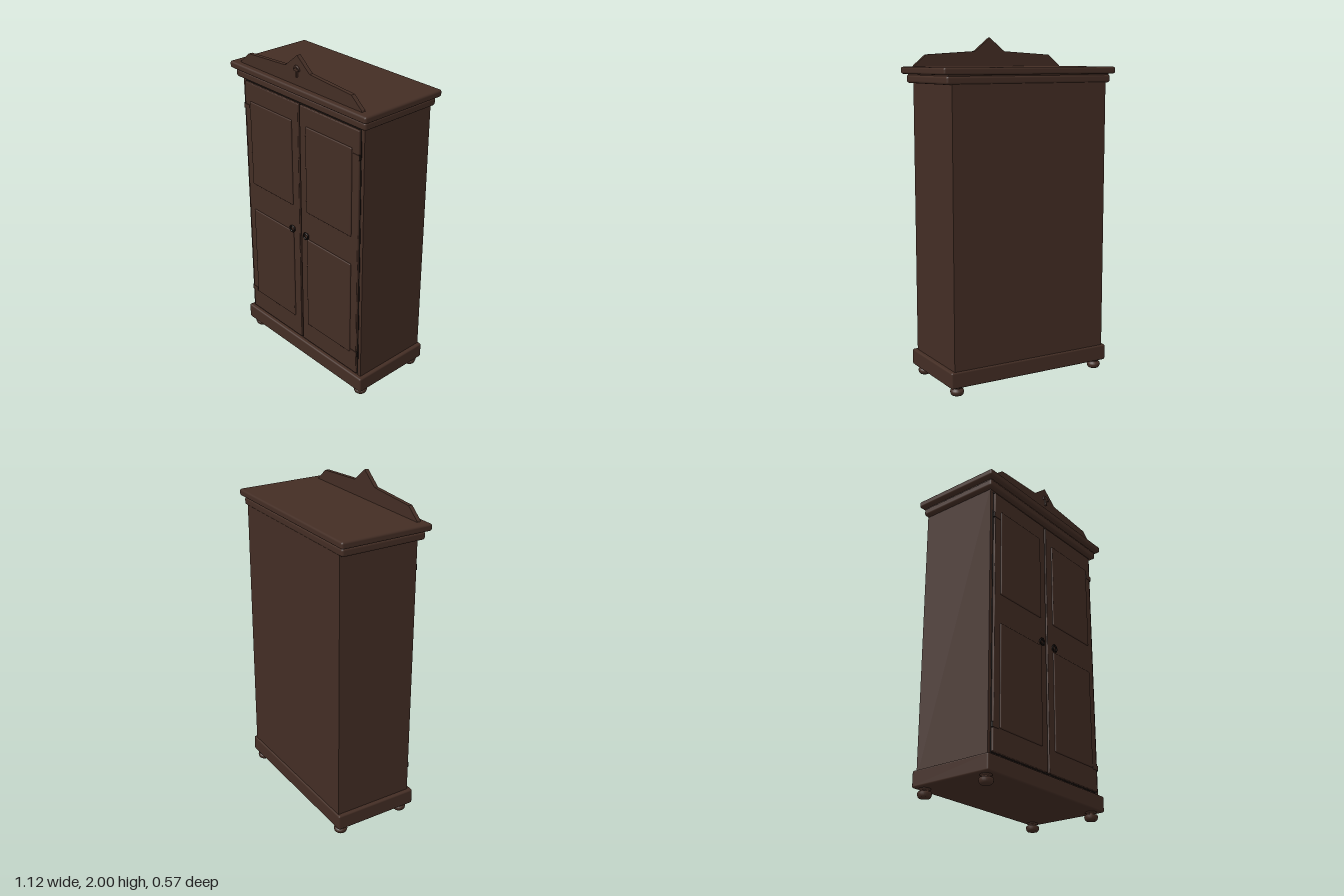
import * as THREE from 'three';
import { RoundedBoxGeometry } from 'three/addons/geometries/RoundedBoxGeometry.js';

export function createModel() {
  const root = new THREE.Group();
  root.name = 'wardrobe';
  const wood = new THREE.MeshStandardMaterial({ color: 0x432d24 });
  wood.name = 'dark wood';
  const iron = new THREE.MeshStandardMaterial({ color: 0x17110e });
  iron.name = 'dark iron';

  const add = (name, geometry, material, parent = root) => {
    const mesh = new THREE.Mesh(geometry, material);
    mesh.name = name;
    parent.add(mesh);
    return mesh;
  };
  // Box given by its limits, with optional rounded edges
  const box = (name, [x0, x1], [y0, y1], [z0, z1], r = 0, material = wood, parent = root) => {
    const s = [x1 - x0, y1 - y0, z1 - z0];
    const g = r ? new RoundedBoxGeometry(...s, 2, r) : new THREE.BoxGeometry(...s);
    g.translate((x0 + x1) / 2, (y0 + y1) / 2, (z0 + z1) / 2);
    return add(name, g, material, parent);
  };

  // Carcass, plinth and stepped cornice
  box('cabinetBody', [-0.503, 0.503], [0.1, 1.76], [-0.26, 0.23]);
  box('plinth', [-0.527, 0.527], [0.05, 0.145], [-0.27, 0.255], 0.01);
  box('lowerCornice', [-0.535, 0.535], [1.738, 1.785], [-0.265, 0.26], 0.014);
  box('corniceNeck', [-0.525, 0.525], [1.775, 1.8], [-0.258, 0.252]);
  box('upperCornice', [-0.56, 0.56], [1.79, 1.83], [-0.283, 0.283], 0.012);

  // Pointed pediment along the front of the top
  const outline = [[-0.5, 1.825], [0.5, 1.825], [0.495, 1.838], [0.42, 1.9], [0.1, 1.92],
    [0, 2], [-0.1, 1.92], [-0.42, 1.9], [-0.495, 1.838]];
  const pediment = new THREE.ExtrudeGeometry(
    new THREE.Shape(outline.map(p => new THREE.Vector2(...p))), { depth: 0.024, bevelEnabled: false });
  pediment.translate(0, 0, 0.225);
  add('pediment', pediment, wood);

  // Small carved ornament: arched head on a stem
  const ornament = new THREE.Group();
  ornament.name = 'pedimentOrnament';
  root.add(ornament);
  const arch = add('ornamentArch', new THREE.TorusGeometry(0.018, 0.006, 6, 16, Math.PI), wood, ornament);
  arch.position.set(0, 1.922, 0.253);
  box('ornamentStem', [-0.006, 0.006], [1.88, 1.935], [0.248, 0.26], 0, wood, ornament);
  box('ornamentBar', [-0.022, 0.022], [1.915, 1.926], [0.248, 0.26], 0, wood, ornament);

  // Thin shadow gaps around the doors
  box('gapBetweenDoors', [-0.008, 0.008], [0.16, 1.722], [0.229, 0.232], 0, iron);
  box('gapAboveDoors', [-0.482, 0.482], [1.72, 1.728], [0.229, 0.232], 0, iron);
  box('gapBelowDoors', [-0.482, 0.482], [0.156, 0.163], [0.229, 0.232], 0, iron);

  for (const side of [-1, 1]) {
    const label = side > 0 ? 'left' : 'right';
    const span = (a, b) => (side > 0 ? [a, b] : [-b, -a]);
    const door = new THREE.Group();
    door.name = label + 'Door';
    root.add(door);
    box('doorLeaf', span(0.006, 0.478), [0.163, 1.72], [0.22, 0.246], 0.005, wood, door);
    box('lowerPanel', span(0.06, 0.428), [0.297, 0.9], [0.235, 0.254], 0.006, wood, door);
    box('upperPanel', span(0.06, 0.428), [1.077, 1.61], [0.235, 0.254], 0.006, wood, door);
    box('sideGap', span(0.478, 0.483), [0.16, 1.722], [0.229, 0.232], 0, iron, door);

    // Ring pull
    const ring = add('ringPull', new THREE.TorusGeometry(0.019, 0.005, 8, 24), iron, door);
    ring.position.set(side * 0.06, 0.922, 0.258);
    const plate = add('pullPlate', new THREE.CylinderGeometry(0.015, 0.015, 0.008, 20), wood, door);
    plate.rotation.x = Math.PI / 2;
    plate.position.set(side * 0.06, 0.922, 0.249);

    // Hinges at top and bottom
    for (const y of [0.305, 1.57]) {
      box('hingeLeaf', span(0.435, 0.485), [y - 0.014, y + 0.014], [0.24, 0.249], 0, wood, door);
      const pin = add('hingePin', new THREE.CylinderGeometry(0.007, 0.007, 0.03, 10), iron, door);
      pin.position.set(side * 0.482, y, 0.242);
    }
  }

  // Turned bun feet
  const profile = [[0, 0], [0.03, 0], [0.036, 0.006], [0.04, 0.02], [0.037, 0.031],
    [0.025, 0.036], [0.024, 0.042], [0.033, 0.046], [0.033, 0.055]];
  const foot = new THREE.LatheGeometry(profile.map(p => new THREE.Vector2(...p)), 24);
  for (const x of [-0.472, 0.472]) {
    for (const z of [-0.225, 0.197]) add('bunFoot', foot, wood).position.set(x, 0, z);
  }
  return root;
}
